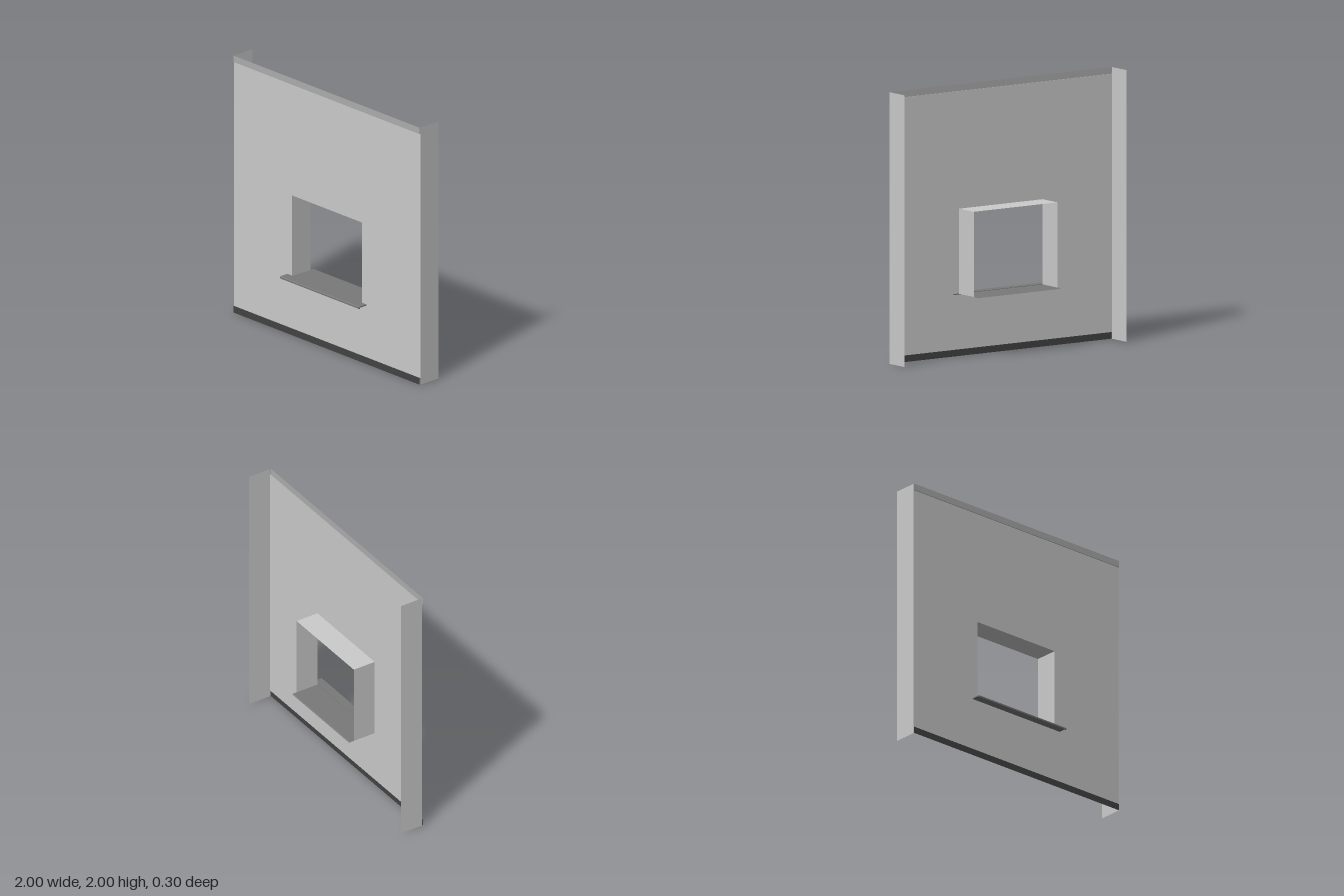
import * as THREE from 'three';

const FRONT = 0.072, BACK = -0.11;
const HOLE = { w: 0.376, y0: 0.458, y1: 1.085 };

const paint = (color) => new THREE.MeshStandardMaterial({ color, side: THREE.DoubleSide, flatShading: true });

export function createModel() {
  const group = new THREE.Group();
  const wallMat = paint(0xcccccc), trimMat = paint(0xaeaeae), baseMat = paint(0x434343), sillMat = paint(0x797979);

  const add = (name, geometry, material) => {
    const mesh = new THREE.Mesh(geometry, material);
    mesh.name = name;
    group.add(mesh);
    return mesh;
  };

  // Thin sheet following a [z, y] profile, spanning -halfWidth..halfWidth in x
  const sheet = (name, profile, halfWidth, material) => {
    const pos = [], index = [];
    profile.forEach(([z, y], i) => {
      pos.push(-halfWidth, y, z, halfWidth, y, z);
      if (i) {
        const a = 2 * i - 2;
        index.push(a, a + 1, a + 3, a, a + 3, a + 2);
      }
    });
    const g = new THREE.BufferGeometry();
    g.setAttribute('position', new THREE.Float32BufferAttribute(pos, 3));
    g.setIndex(index);
    const flat = g.toNonIndexed();
    flat.computeVertexNormals();
    return add(name, flat, material);
  };

  // Upright sheet facing sideways
  const sideSheet = (name, x, y0, y1, material) => {
    const m = add(name, new THREE.PlaneGeometry(FRONT - BACK, y1 - y0), material);
    m.rotation.y = Math.sign(x) * Math.PI / 2;
    m.position.set(x, (y0 + y1) / 2, (FRONT + BACK) / 2);
  };

  // Wall face with the window opening
  const rect = (path, w, y0, y1) => path.moveTo(-w, y0).lineTo(w, y0).lineTo(w, y1).lineTo(-w, y1).closePath();
  const face = rect(new THREE.Shape(), 1, 0.05, 1.95);
  face.holes.push(rect(new THREE.Path(), HOLE.w, HOLE.y0, HOLE.y1));
  add('wallFace', new THREE.ShapeGeometry(face).translate(0, 0, FRONT), wallMat);

  // Top band and base strip, each stepping slightly forward of the wall
  const step = FRONT + 0.006;
  sheet('topBand', [[FRONT, 1.95], [step, 1.95], [step, 2]], 1, trimMat);
  sheet('baseStrip', [[step, 0], [step, 0.05], [FRONT, 0.05]], 1, baseMat);

  // Wall returns and window reveals on both sides
  for (const [side, s] of [['left', 1], ['right', -1]]) {
    sideSheet(side + 'WallReturn', s, 0, 2, wallMat);
    sideSheet(side + 'Reveal', s * HOLE.w, HOLE.y0, HOLE.y1, wallMat);
  }
  sheet('lintelReveal', [[FRONT, HOLE.y1], [BACK, HOLE.y1]], HOLE.w, wallMat);

  // Sill: floor of the opening with a short inner nose
  sheet('innerSill', [[FRONT, HOLE.y0], [-0.14, HOLE.y0], [-0.148, 0.453]], HOLE.w, sillMat);

  // Outer sill: thin slab with a turned-down front lip
  const lip = new THREE.Shape();
  [[FRONT, 0.453], [FRONT, 0.461], [0.141, 0.461], [0.147, 0.456], [0.147, 0.445], [0.138, 0.445], [0.138, 0.453]]
    .forEach(([z, y], i) => (i ? lip.lineTo(-z, y) : lip.moveTo(-z, y)));
  const sill = new THREE.ExtrudeGeometry(lip, { depth: 0.85, bevelEnabled: false });
  add('outerSill', sill.translate(0, 0, -0.425).rotateY(Math.PI / 2), sillMat);

  return group;
}
